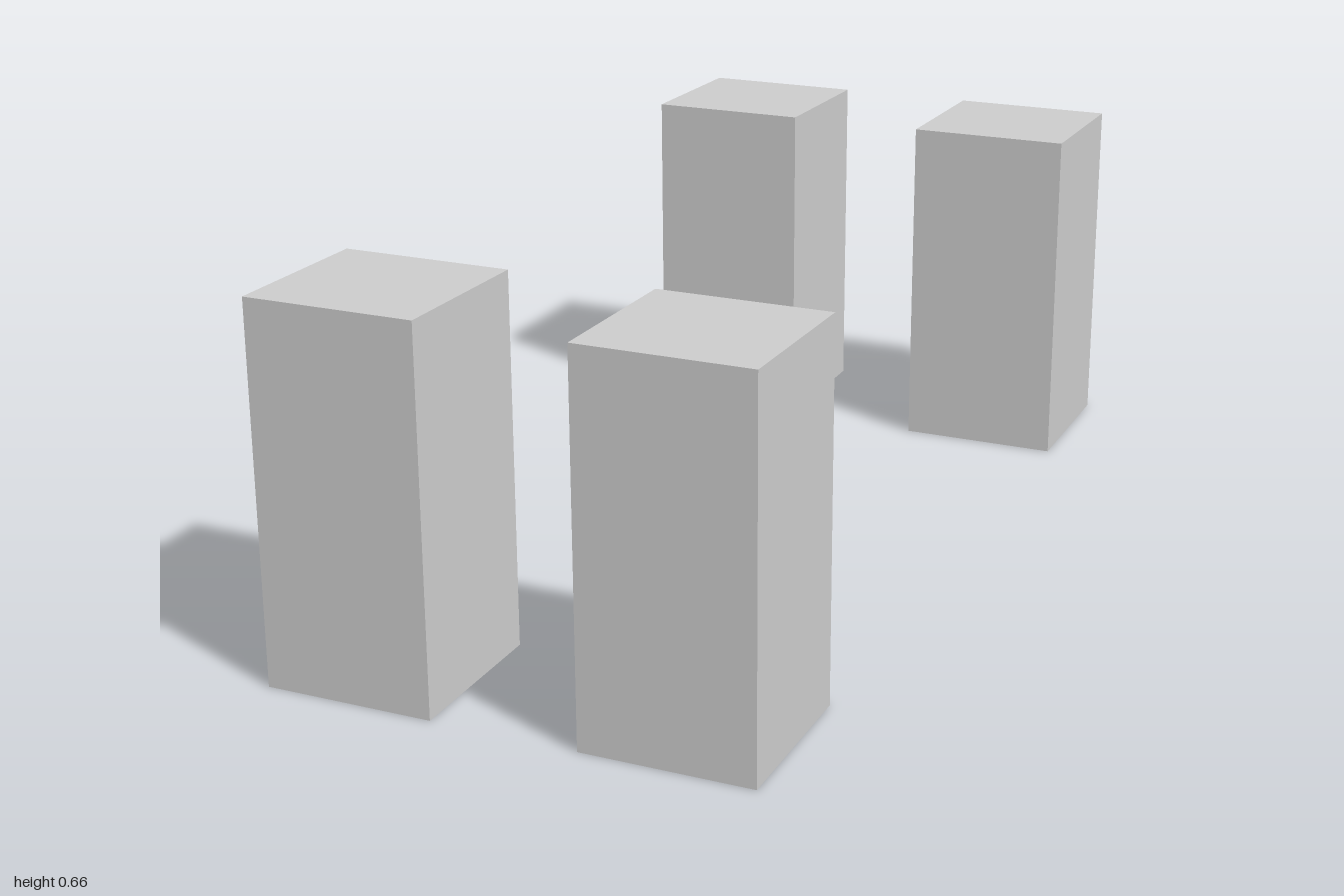
import * as THREE from 'three';

export function createModel() {
  const model = new THREE.Group();
  model.name = 'fourBlocks';
  const material = new THREE.MeshStandardMaterial({ color: 0xcccccc, flatShading: true });

  // Square block whose top follows one gently sloping plane shared by all four
  const width = 0.298;
  const topHeight = (x) => 0.647 - 0.014 * x;
  function block(name, x, z) {
    const geometry = new THREE.BoxGeometry(width, 1, width);
    geometry.translate(x, 0.5, z);
    const p = geometry.attributes.position;
    for (let i = 0; i < p.count; i++) {
      if (p.getY(i) > 0.5) p.setY(i, topHeight(p.getX(i)));
    }
    geometry.computeVertexNormals();
    const mesh = new THREE.Mesh(geometry, material);
    mesh.name = name;
    return mesh;
  }

  // Two rows of two blocks, turned together about the vertical axis
  for (const [side, x] of [['right', -0.757], ['left', 0.757]]) {
    for (const [end, z] of [['Back', -0.278], ['Front', 0.278]]) {
      model.add(block(`${side}${end}Block`, x, z));
    }
  }
  const layout = new THREE.Group();
  layout.name = 'turnedLayout';
  layout.add(...model.children.slice());
  layout.rotation.y = THREE.MathUtils.degToRad(28.8);
  model.add(layout);
  return model;
}
